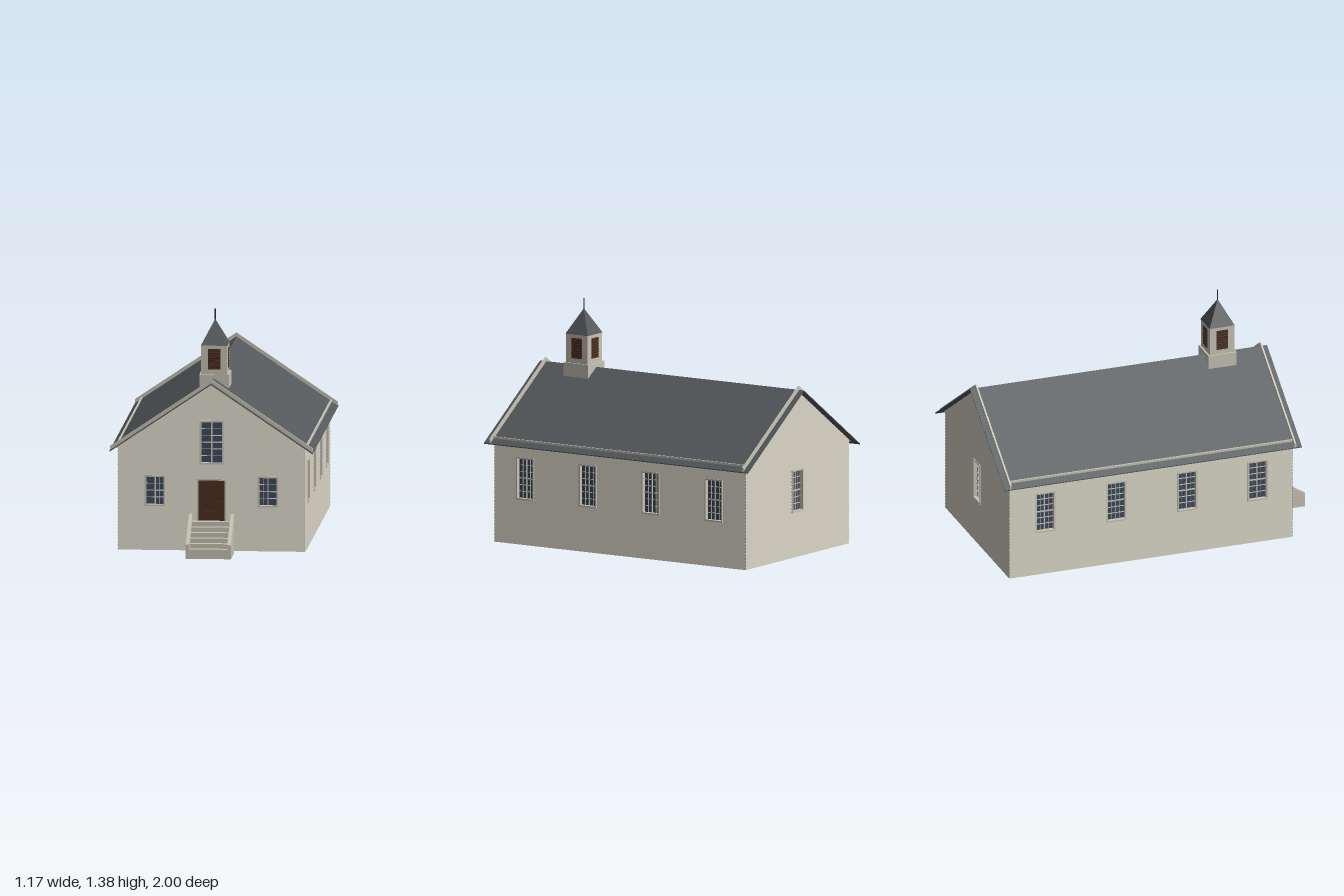
import * as THREE from 'three';

const mat = (name, color) => Object.assign(new THREE.MeshStandardMaterial({ color, side: THREE.DoubleSide }), { name });
const EAVE = 0.62, APEX = 0.982, BASE = 0.015, SLOPE = 0.675, ROW = 0.0195, LAP = 0.005;

export function createModel() {
  const cream = mat('cream paint', 0xc8c4b6);
  const slate = mat('slate roof', 0x54585b);
  const glass = mat('window glass', 0x3e4a5f);
  const wood = mat('brown wood', 0x4a3020);
  const iron = mat('dark iron', 0x24282e);
  const model = new THREE.Group();
  model.name = 'chapel';

  const add = (parent, name, geo, material, x = 0, y = 0, z = 0) => {
    const m = new THREE.Mesh(geo, material);
    m.name = name;
    m.position.set(x, y, z);
    parent.add(m);
    return m;
  };
  const box = (parent, name, material, w, h, d, x, y, z) =>
    add(parent, name, new THREE.BoxGeometry(w, h, d), material, x, y, z);
  const poly = (pts) => new THREE.Shape(pts.map(([x, y]) => new THREE.Vector2(x, y)));
  const rect = (x0, y0, x1, y1) => poly([[x0, y0], [x1, y0], [x1, y1], [x0, y1]]);
  const extrude = (shape, depth) => new THREE.ExtrudeGeometry(shape, { depth, bevelEnabled: false });

  // Lapped clapboards, cut around the openings
  function siding(half, gable, openings) {
    const top = gable ? APEX : EAVE;
    const hw = (y) => (y <= EAVE ? half : half * Math.max(0, (APEX - y) / (APEX - EAVE)));
    const cuts = [top, ...(gable ? [EAVE] : [])];
    for (let i = 0; BASE + i * ROW < top; i++) cuts.push(BASE + i * ROW);
    openings.forEach((o) => cuts.push(o.y0, o.y1));
    cuts.sort((a, b) => a - b);
    const v = [];
    const quad = (a, b, c, d) => v.push(...a, ...b, ...c, ...a, ...c, ...d);
    for (let i = 0; i < cuts.length - 1; i++) {
      const y0 = cuts[i], y1 = cuts[i + 1];
      if (y1 - y0 < 1e-6) continue;
      const row = Math.floor((y0 - BASE) / ROW + 1e-4);
      const out = (y) => LAP * (1 - (y - BASE - row * ROW) / ROW);
      const holes = openings.filter((o) => o.y0 <= y0 + 1e-6 && o.y1 >= y1 - 1e-6).sort((a, b) => a.x0 - b.x0);
      const xs = [[-hw(y0), -hw(y1)]];
      holes.forEach((o) => xs.push([o.x0, o.x0], [o.x1, o.x1]));
      xs.push([hw(y0), hw(y1)]);
      for (let k = 0; k < xs.length; k += 2) {
        const [l0, l1] = xs[k], [r0, r1] = xs[k + 1], z0 = out(y0), z1 = out(y1);
        quad([l0, y0, z0], [r0, y0, z0], [r1, y1, z1], [l1, y1, z1]);
        if (z0 > LAP * 0.99) quad([l0, y0, 0], [r0, y0, 0], [r0, y0, z0], [l0, y0, z0]);
      }
    }
    const g = new THREE.BufferGeometry();
    g.setAttribute('position', new THREE.Float32BufferAttribute(v, 3));
    g.computeVertexNormals();
    return g;
  }

  // Frame and filling of one opening
  function fillOpening(parent, o) {
    const g = new THREE.Group();
    g.name = o.door ? 'door' : 'window';
    parent.add(g);
    const w = o.x1 - o.x0, h = o.y1 - o.y0, cx = (o.x0 + o.x1) / 2, cy = (o.y0 + o.y1) / 2, f = 0.009;
    const frame = rect(o.x0 - f, o.y0 - f, o.x1 + f, o.y1 + f);
    frame.holes.push(rect(o.x0, o.y0, o.x1, o.y1));
    add(g, 'frame', extrude(frame, 0.033), cream, 0, 0, -0.025);
    box(g, o.door ? 'doorLeaf' : 'pane', o.door ? wood : glass, w, h, 0.004, cx, cy, -0.018);
    if (o.door) {
      for (let r = 0; r < 4; r++) for (const s of [-1, 1])
        box(g, 'doorPanel', wood, w * 0.36, h * 0.19, 0.006, cx + s * w * 0.23, o.y0 + h * (r + 0.5) / 4, -0.014);
      return;
    }
    box(g, 'mullion', cream, 0.006, h, 0.008, cx, cy, -0.012);
    for (const s of [-1, 1]) box(g, 'muntin', cream, 0.0015, h, 0.005, cx + s * w / 4, cy, -0.013);
    for (let r = 1; r < o.rows; r++) {
      const mid = r * 2 === o.rows;
      box(g, mid ? 'sashRail' : 'muntin', cream, w, mid ? 0.007 : 0.003, 0.006, cx, o.y0 + h * r / o.rows, -0.012);
    }
  }

  function wall(name, half, gable, openings, x, z, turn) {
    const g = new THREE.Group();
    g.name = name;
    g.position.set(x, 0, z);
    g.rotation.y = turn;
    model.add(g);
    add(g, 'clapboards', siding(half, gable, openings), cream);
    const pts = [[-half, BASE], [half, BASE], [half, EAVE - 0.006]];
    if (gable) pts.push([0, APEX - 0.004]);
    pts.push([-half, EAVE - 0.006]);
    const liner = poly(pts);
    openings.forEach((o) => liner.holes.push(rect(o.x0, o.y0, o.x1, o.y1)));
    add(g, 'innerLining', new THREE.ShapeGeometry(liner), cream, 0, 0, -0.006);
    openings.forEach((o) => fillOpening(g, o));
  }
  const opening = (cx, w, y0, y1, rows, door = false) => ({ x0: cx - w / 2, x1: cx + w / 2, y0, y1, rows, door });

  // Walls
  wall('frontWall', 0.537, true, [
    opening(-0.325, 0.1, 0.28, 0.44, 4), opening(0.325, 0.1, 0.28, 0.44, 4),
    opening(0, 0.12, 0.525, 0.76, 6), opening(0, 0.15, 0.186, 0.422, 0, true)], 0, 0.772, 0);
  wall('backWall', 0.537, true, [opening(0, 0.1, 0.285, 0.515, 6)], 0, -0.952, Math.PI);
  const windowZ = [0.56, 0.13, -0.302, -0.736];
  for (const s of [1, -1])
    wall(s > 0 ? 'leftWall' : 'rightWall', 0.862, false,
      windowZ.map((z) => opening(s * (-0.09 - z), 0.104, 0.285, 0.515, 6)), s * 0.537, -0.09, s * Math.PI / 2);

  // Roof and raised trim
  const chevron = (w, y0, y1) => poly([
    [-w, y0 - SLOPE * w], [0, y0], [w, y0 - SLOPE * w], [w, y1 - SLOPE * w], [0, y1], [-w, y1 - SLOPE * w]]);
  add(model, 'roof', extrude(chevron(0.585, 0.982, 0.987), 1.815), slate, 0, 0, -1);
  for (const [z, n] of [[0.771, 'frontGableTrim'], [-0.967, 'backGableTrim']])
    add(model, n, extrude(chevron(0.583, 0.985, 1.01), 0.01), cream, 0, 0, z);
  for (const s of [1, -1]) box(model, 'eaveTrim', cream, 0.01, 0.022, 1.73, s * 0.545, 0.617, -0.091);

  // Belfry
  const belfry = new THREE.Group();
  belfry.name = 'belfry';
  belfry.position.z = 0.513;
  model.add(belfry);
  add(belfry, 'saddleBase', extrude(
    poly([[-0.085, 0.928], [0, 0.986], [0.085, 0.928], [0.085, 1.01], [-0.085, 1.01]]), 0.17), cream, 0, 0, -0.085);
  box(belfry, 'tower', cream, 0.15, 0.167, 0.15, 0, 1.0935, 0);
  for (let i = 0; i < 4; i++) {
    const side = new THREE.Group();
    side.name = 'louvre';
    side.rotation.y = i * Math.PI / 2;
    belfry.add(side);
    box(side, 'louvrePanel', wood, 0.07, 0.118, 0.004, 0, 1.097, 0.0755);
    for (let k = 0; k < 8; k++)
      box(side, 'slat', wood, 0.07, 0.003, 0.008, 0, 1.045 + k * 0.015, 0.0765).rotation.x = 0.5;
  }
  const spire = new THREE.ConeGeometry(0.077 * Math.SQRT2, 0.145, 4).toNonIndexed();
  spire.rotateY(Math.PI / 4);
  spire.computeVertexNormals();
  add(belfry, 'spire', spire, slate, 0, 1.2485, 0);
  add(belfry, 'finial', new THREE.CylinderGeometry(0.003, 0.003, 0.075, 8), iron, 0, 1.3425, 0);

  // Front steps
  const steps = new THREE.Group();
  steps.name = 'frontSteps';
  model.add(steps);
  const cheek = poly([[-1, 0], [-0.772, 0], [-0.772, 0.228], [-1, 0.083]]);
  for (const x of [-0.13, 0.11]) {
    const m = add(steps, 'cheekWall', extrude(cheek, 0.02), cream, x, 0, 0);
    m.rotation.y = Math.PI / 2;
  }
  for (let i = 0; i < 6; i++) {
    const y = 0.055 + i * 0.0264, z = 0.992 - i * 0.036;
    box(steps, 'tread', cream, 0.22, 0.008, 0.04, 0, y - 0.004, z - 0.02);
    const h = i ? 0.0264 : 0.055;
    box(steps, 'riser', cream, 0.22, h, 0.005, 0, y - h / 2, z - 0.0026);
  }
  return model;
}
